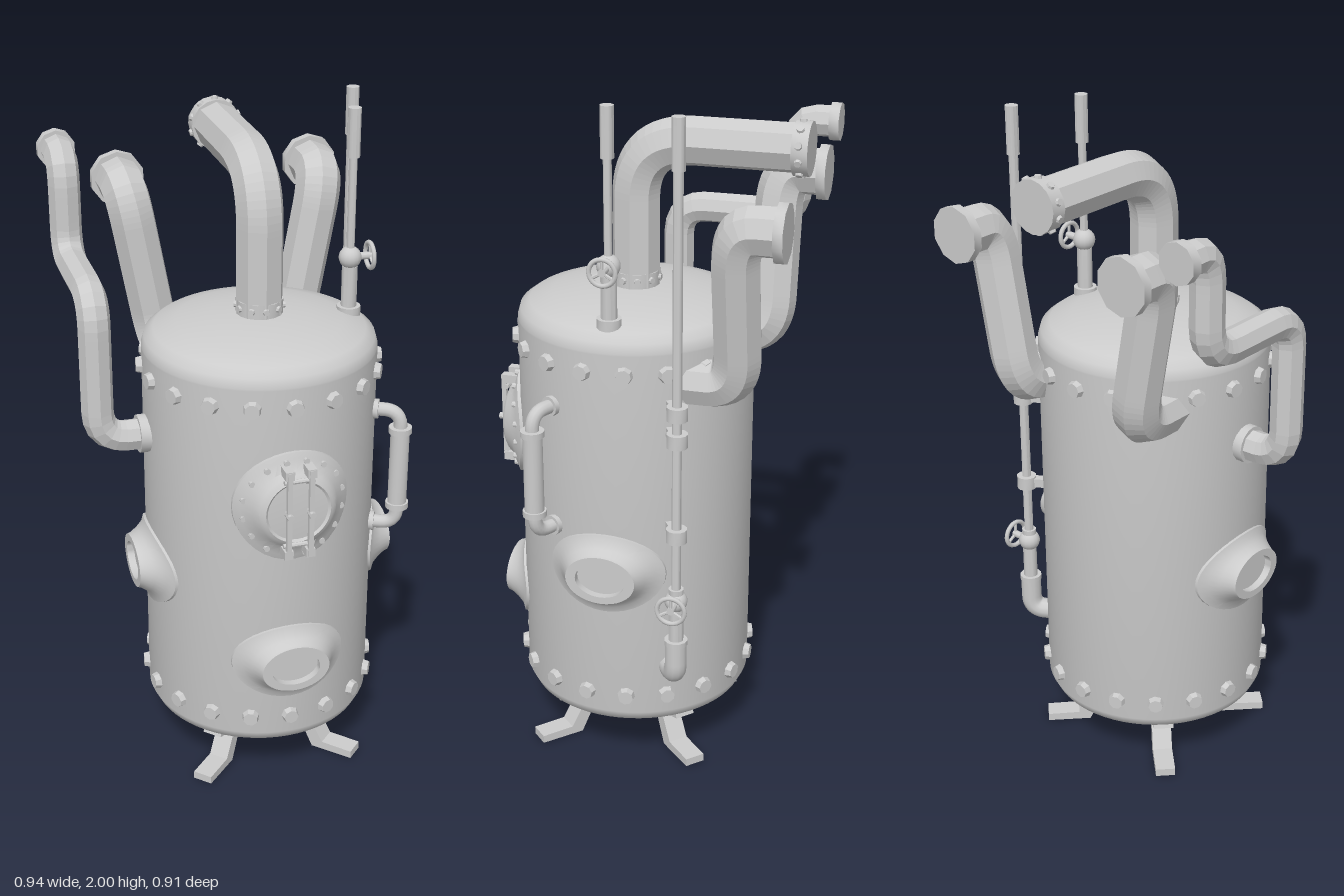
import * as THREE from 'three';
import { toCreasedNormals } from 'three/addons/utils/BufferGeometryUtils.js';

const R = 0.34; // tank radius
const smooth = new THREE.MeshStandardMaterial({ color: 0xcccccc, side: THREE.DoubleSide });
const faceted = new THREE.MeshStandardMaterial({ color: 0xcccccc, flatShading: true });
const V = (x, y, z) => new THREE.Vector3(x, y, z);

function add(parent, name, geo, mat = smooth, pos = [0, 0, 0]) {
  const m = new THREE.Mesh(geo, mat);
  m.name = name;
  m.position.set(...pos);
  parent.add(m);
  return m;
}

function group(parent, name) {
  const g = new THREE.Group();
  g.name = name;
  parent.add(g);
  return g;
}

// Closed cylinder between two points
function rod(parent, name, a, b, r, seg = 12, r2 = r) {
  const p = V(...a), q = V(...b), d = q.clone().sub(p);
  const geo = toCreasedNormals(new THREE.CylinderGeometry(r2, r, d.length(), seg), 0.7);
  const m = add(parent, name, geo, smooth, p.clone().add(q).multiplyScalar(0.5).toArray());
  m.quaternion.setFromUnitVectors(V(0, 1, 0), d.normalize());
  return m;
}

// Pipe through points with rounded corners
function pipe(parent, name, pts, r, bend, seg = 8, mat = faceted) {
  const p = pts.map(a => V(...a)), path = new THREE.CurvePath();
  let last = p[0];
  for (let i = 1; i < p.length - 1; i++) {
    const toward = q => {
      const d = q.clone().sub(p[i]);
      return p[i].clone().addScaledVector(d.clone().normalize(), Math.min(bend, d.length() * 0.49));
    };
    const a = toward(p[i - 1]), b = toward(p[i + 1]);
    path.add(new THREE.LineCurve3(last, a));
    path.add(new THREE.QuadraticBezierCurve3(a, p[i], b));
    last = b;
  }
  path.add(new THREE.LineCurve3(last, p[p.length - 1]));
  return add(parent, name, new THREE.TubeGeometry(path, 48, r, seg), mat);
}

// Saddle fitting on the tank wall facing +z; rings are [scale, offset, flatness]
function saddle(parent, name, rx, ry, rings, seg = 36) {
  const pos = [], idx = [];
  rings.forEach(([s, off, flat], i) => {
    for (let j = 0; j < seg; j++) {
      const t = j / seg * Math.PI * 2, u = rx * s * Math.cos(t);
      const wall = Math.sqrt(R * R - u * u);
      pos.push(u, ry * s * Math.sin(t), wall + (R - wall) * flat + off);
      if (i === rings.length - 1) continue;
      const a = i * seg + j, b = i * seg + (j + 1) % seg;
      idx.push(a, b, b + seg, a, b + seg, a + seg);
    }
  });
  const geo = new THREE.BufferGeometry();
  geo.setAttribute('position', new THREE.Float32BufferAttribute(pos, 3));
  geo.setIndex(idx);
  return add(parent, name, toCreasedNormals(geo, 0.5), smooth);
}

// Ring of bolts pointing outward around a vertical axis
function boltRing(parent, name, y, radius, n, r, h, seg = 8) {
  const g = group(parent, name);
  for (let i = 0; i < n; i++) {
    const t = i / n * Math.PI * 2, s = Math.sin(t), c = Math.cos(t);
    rod(g, 'bolt', [s * radius, y, c * radius], [s * (radius + h), y, c * (radius + h)], r, seg, r * 0.8);
  }
  return g;
}

// Valve body with a spoked handwheel facing +x
function valve(parent, x, y, z, wheelR) {
  const g = group(parent, 'valve');
  g.position.set(x, y, z);
  add(g, 'valveBody', new THREE.SphereGeometry(0.033, 16, 12));
  rod(g, 'valveStem', [0, 0, 0], [0.065, 0, 0], 0.011);
  const rim = add(g, 'handwheelRim', new THREE.TorusGeometry(wheelR - 0.006, 0.007, 8, 24), smooth, [0.06, 0, 0]);
  rim.rotation.y = Math.PI / 2;
  for (let i = 0; i < 3; i++) {
    const t = Math.PI / 2 + i * Math.PI * 2 / 3, e = wheelR - 0.006;
    rod(g, 'handwheelSpoke', [0.06, 0, 0], [0.06, Math.sin(t) * e, Math.cos(t) * e], 0.005, 6);
  }
}

export function createModel() {
  const root = new THREE.Group();
  root.name = 'boiler';
  const b = group(root, 'boilerBody');
  b.position.set(0.06, 0, 0.035);

  // Tank with domed ends
  const profile = [[0, 0.115], [0.1, 0.118], [0.2, 0.13], [0.28, 0.15], [0.325, 0.175], [R, 0.205], [R, 0.21],
    [R, 1.335], [R, 1.34], [0.332, 1.368], [0.305, 1.388], [0.24, 1.408], [0.15, 1.424], [0.07, 1.43], [0, 1.432]];
  add(b, 'tank', toCreasedNormals(new THREE.LatheGeometry(profile.map(p => new THREE.Vector2(...p)), 64), 0.7));
  for (const y of [0.265, 1.28]) boltRing(b, 'tankBolts', y, R - 0.005, 18, 0.027, 0.022);

  // Four splayed legs on the diagonals
  const leg = new THREE.Shape([[0.35, 0], [0.35, 0.024], [0.25, 0.026], [0.2, 0.11], [0.29, 0.135], [0.28, 0.165],
    [0.13, 0.14], [0.13, 0.112], [0.16, 0.108], [0.215, 0]].map(p => new THREE.Vector2(...p)));
  const legGeo = new THREE.ExtrudeGeometry(leg, { depth: 0.06, bevelEnabled: false }).translate(0, 0, -0.03);
  for (let i = 0; i < 4; i++) add(b, 'leg', legGeo, faceted).rotation.y = Math.PI / 4 + i * Math.PI / 2;

  // Main pipe out of the dome
  pipe(b, 'mainPipe', [[0, 1.4, 0], [0, 1.85, 0], [0, 1.85, -0.47]], 0.069, 0.17);
  rod(b, 'mainPipeBase', [0, 1.42, 0], [0, 1.472, 0], 0.068, 16);
  boltRing(b, 'mainPipeBaseBolts', 1.452, 0.064, 10, 0.011, 0.01);
  rod(b, 'mainPipeCollar', [0, 1.85, -0.445], [0, 1.85, -0.49], 0.075, 16);
  const ends = boltRing(b, 'mainPipeCollarBolts', 0, 0.071, 10, 0.012, 0.01);
  ends.position.set(0, 1.85, -0.465);
  ends.rotation.x = Math.PI / 2;

  // Pair of back pipes
  for (const s of [-1, 1]) {
    pipe(b, 'backPipe', [[s * 0.215, 1.235, -0.18], [s * 0.215, 1.235, -0.35],
      [s * 0.3, 1.705, -0.35], [s * 0.3, 1.705, -0.47]], 0.069, 0.11);
    rod(b, 'backPipeCollar', [s * 0.3, 1.705, -0.463], [s * 0.3, 1.705, -0.49], 0.082, 10);
  }

  // Narrow side pipe
  pipe(b, 'sidePipe', [[-0.3, 1.09, 0], [-0.48, 1.09, 0], [-0.48, 1.52, 0], [-0.48, 1.52, -0.365],
    [-0.48, 1.81, -0.365], [-0.48, 1.81, -0.47]], 0.047, 0.09);
  rod(b, 'sidePipeBase', [-0.32, 1.09, 0], [-0.365, 1.09, 0], 0.056, 16);
  rod(b, 'sidePipeCollar', [-0.48, 1.81, -0.46], [-0.48, 1.81, -0.49], 0.057, 10);

  // Oval ports: front and both sides
  const portRings = [[1, -0.01, 0], [1, 0.008, 0], [0.85, 0.014, 0], [0.72, 0.026, 0.4], [0.62, 0.042, 1],
    [0.6, 0.052, 1], [0.43, 0.052, 1], [0.43, 0.03, 1], [0, 0.03, 1]];
  for (const [y, turn] of [[0.46, 0], [0.67, 1], [0.67, -1]]) {
    const port = saddle(b, 'ovalPort', 0.17, 0.122, portRings);
    port.position.y = y;
    port.rotation.y = turn * Math.PI / 2;
  }

  // Round front hatch with bolts and two clamp bars
  const hatch = group(b, 'hatch');
  hatch.position.y = 0.98;
  saddle(hatch, 'hatchPlate', 0.17, 0.17, [[1, -0.01, 0], [1, 0.01, 0], [0.9, 0.016, 0.1], [0.73, 0.024, 0.5],
    [0.66, 0.035, 1], [0.6, 0.042, 1], [0.56, 0.046, 1], [0.52, 0.04, 1], [0, 0.046, 1]]);
  for (let i = 0; i < 16; i++) {
    const t = (i + 0.5) / 16 * Math.PI * 2, x = 0.147 * Math.cos(t), y = 0.147 * Math.sin(t);
    const z = Math.sqrt(R * R - x * x);
    rod(hatch, 'hatchBolt', [x, y, z], [x, y, z + 0.026], 0.009, 8);
  }
  for (const x of [-0.032, 0.032]) {
    add(hatch, 'clampBar', new THREE.BoxGeometry(0.014, 0.27, 0.014), faceted, [x, 0, R + 0.06]);
    for (const y of [-0.125, 0.125]) {
      add(hatch, 'clampFoot', new THREE.BoxGeometry(0.026, 0.026, 0.05), faceted, [x, y, R + 0.04]);
    }
    rod(hatch, 'clampKnob', [x, 0, R + 0.03], [x, 0, R + 0.078], 0.01, 8);
  }
  for (const y of [-0.1, 0.1]) rod(hatch, 'clampHinge', [-0.045, y, R + 0.05], [0.045, y, R + 0.05], 0.007, 8);

  // Level gauge
  const gauge = group(b, 'gauge');
  gauge.rotation.y = -0.485;
  pipe(gauge, 'gaugePipe', [[0.32, 1.155, 0], [0.418, 1.155, 0], [0.418, 0.785, 0], [0.32, 0.785, 0]],
    0.02, 0.05, 12, smooth);
  rod(gauge, 'gaugeGlass', [0.418, 0.845, 0], [0.418, 1.1, 0], 0.028, 16);
  for (const y of [0.85, 1.095]) rod(gauge, 'gaugeCollar', [0.418, y - 0.009, 0], [0.418, y + 0.009, 0], 0.034, 16);
  for (const y of [0.785, 1.155]) rod(gauge, 'gaugeFlange', [0.33, y, 0], [0.353, y, 0], 0.029, 12);

  // Riser on the dome
  const dome = group(b, 'domeRiser');
  dome.position.x = 0.27;
  rod(dome, 'riserBase', [0, 1.385, 0], [0, 1.418, 0], 0.035, 12);
  rod(dome, 'riserFoot', [0, 1.4, 0], [0, 1.54, 0], 0.023);
  rod(dome, 'riserPipe', [0, 1.5, 0], [0, 1.9, 0], 0.012);
  rod(dome, 'riserTip', [0, 1.86, 0], [0, 2, 0], 0.019);
  valve(dome, 0, 1.565, 0, 0.043);

  // Tall riser clamped to the tank side
  const side = group(b, 'sideRiser'), sx = 0.34, sz = -0.21;
  pipe(side, 'riserElbow', [[0.26, 0.36, -0.16], [sx, 0.36, sz], [sx, 0.48, sz]], 0.032, 0.05, 12, smooth);
  rod(side, 'riserReducer', [sx, 0.47, sz], [sx, 0.485, sz], 0.034);
  rod(side, 'riserFoot', [sx, 0.48, sz], [sx, 0.65, sz], 0.022);
  rod(side, 'riserPipe', [sx, 0.6, sz], [sx, 1.9, sz], 0.014);
  rod(side, 'riserTip', [sx, 1.86, sz], [sx, 2, sz], 0.019);
  valve(side, sx, 0.61, sz, 0.046);
  const clamps = group(side, 'riserClamps');
  clamps.rotation.y = 0.554;
  for (const y of [0.82, 1.11, 1.19]) {
    add(clamps, 'clampArm', new THREE.BoxGeometry(0.09, 0.028, 0.028), faceted, [0.365, y, 0]);
    rod(clamps, 'clampCollar', [0.4, y - 0.02, 0], [0.4, y + 0.02, 0], 0.03, 12);
  }
  return root;
}
